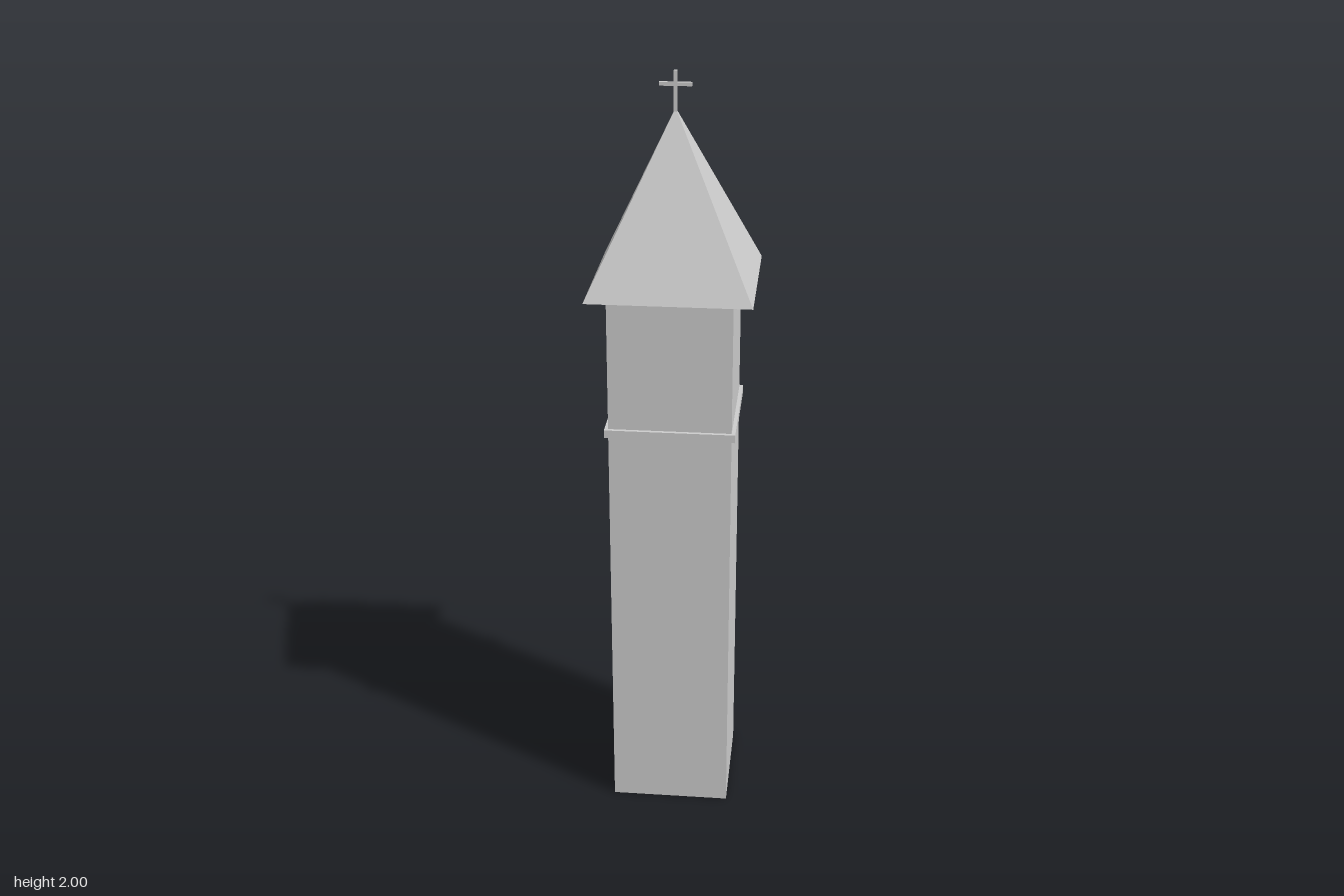
import * as THREE from 'three';

const material = new THREE.MeshStandardMaterial({
  color: 0xcccccc, flatShading: true, side: THREE.DoubleSide,
});

export function createModel() {
  const tower = new THREE.Group();
  tower.name = 'tower';

  const add = (name, geometry, y) => {
    const mesh = new THREE.Mesh(geometry, material);
    mesh.name = name;
    mesh.position.y = y;
    tower.add(mesh);
  };

  // Four-sided prism or pyramid standing on y = 0, given its half widths
  const square = (top, bottom, height, open) =>
    new THREE.CylinderGeometry(top * Math.SQRT2, bottom * Math.SQRT2, height, 4, 1, open)
      .rotateY(Math.PI / 4)
      .translate(0, height / 2, 0);

  // Hollow shaft, open at the foot
  add('shaft', square(0.157, 0.157, 1.475, true), 0);

  // String course around the shaft
  add('stringCourse', new THREE.BoxGeometry(0.333, 0.021, 0.333), 1.113);

  // Overhanging pyramid roof with a flat soffit
  add('roof', square(0, 0.207, 0.435, false), 1.475);

  // Cross on the apex
  add('crossPost', new THREE.BoxGeometry(0.009, 0.1, 0.009), 1.95);
  add('crossBar', new THREE.BoxGeometry(0.08, 0.009, 0.009), 1.967);

  return tower;
}
